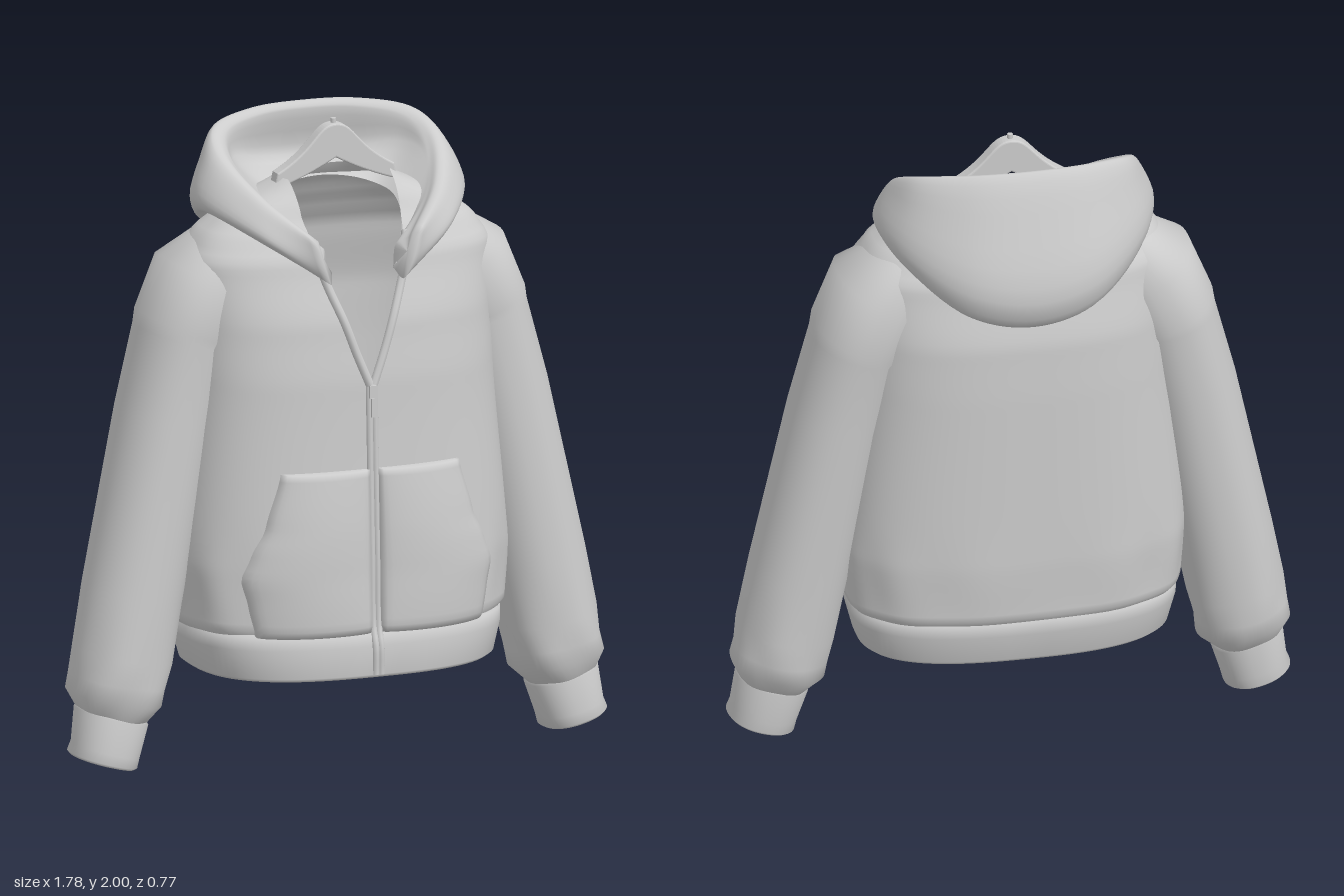
import * as THREE from 'three';

const fabric = new THREE.MeshStandardMaterial({ color: 0xcccccc, side: THREE.DoubleSide });
fabric.name = 'light grey';
const V = (x, y, z) => new THREE.Vector3(x, y, z);

function add(parent, name, geometry) {
  const m = new THREE.Mesh(geometry, fabric);
  m.name = name;
  parent.add(m);
  return m;
}

// Skin a grid of rings; closed joins each ring's end to its start
function loft(rings, closed) {
  const n = rings[0].length, pos = [], idx = [];
  rings.forEach(r => r.forEach(p => pos.push(p.x, p.y, p.z)));
  for (let i = 0; i < rings.length - 1; i++) {
    for (let j = 0; j < (closed ? n : n - 1); j++) {
      const a = i * n + j, b = i * n + (j + 1) % n;
      idx.push(a, b, a + n, b, b + n, a + n);
    }
  }
  const g = new THREE.BufferGeometry();
  g.setAttribute('position', new THREE.Float32BufferAttribute(pos, 3));
  g.setIndex(idx);
  g.computeVertexNormals();
  return g;
}

// Smooth lookup of a row table keyed by its rising first column
function at(rows, key) {
  let k = 0;
  while (k < rows.length - 2 && key > rows[k + 1][0]) k++;
  const f = THREE.MathUtils.clamp((key - rows[k][0]) / (rows[k + 1][0] - rows[k][0]), 0, 1);
  const s = f * f * (3 - 2 * f) * 0.4 + f * 0.6;
  return rows[k].map((v, i) => v + (rows[k + 1][i] - v) * s);
}

// Torso profile: y, half width, front z, back z, half width of the neck opening
const torso = [
  [0.42, 0.495, 0.335, -0.27, 0], [0.46, 0.53, 0.345, -0.3, 0], [0.65, 0.545, 0.335, -0.31, 0],
  [1.22, 0.5, 0.31, -0.31, 0], [1.4, 0.495, 0.29, -0.305, 0.07], [1.6, 0.5, 0.235, -0.26, 0.14],
  [1.67, 0.455, 0.195, -0.22, 0.155], [1.73, 0.385, 0.15, -0.18, 0.165], [1.83, 0.18, 0.1, -0.11, 0.17],
];
const E = 0.75;
const pw = (v, e) => Math.sign(v) * Math.abs(v) ** e;
function oval(a, w, zf, zb, y) {
  const c = pw(Math.cos(a), E);
  return V(w * pw(Math.sin(a), E), y, c > 0 ? c * zf : -c * zb);
}
function frontZ(x, y) {
  const [, w, zf] = at(torso, y);
  return zf * Math.max(0, 1 - (Math.abs(x) / w) ** (2 / E)) ** (E / 2);
}

function buildTorso() {
  const rings = [];
  for (let i = 0; i <= 70; i++) {
    const y = 0.42 + 1.41 * i / 70, [, w, zf, zb, gap] = at(torso, y);
    const a0 = Math.asin(Math.min(0.97, gap / w) ** (1 / E));
    const fold = 0.009 * Math.exp(-(((y - 0.55) / 0.14) ** 2));
    rings.push(Array.from({ length: 97 }, (_, j) => {
      const a = a0 + (2 * Math.PI - 2 * a0) * j / 96;
      const k = 1 + fold * Math.sin(11 * a);
      return oval(a, w * k, zf * k, zb * k, y);
    }));
  }
  return loft(rings, false);
}

// Ribbed hem: outer wall, rolled edge and inner wall
function buildHem() {
  const rows = [
    [0.455, 0.49, 0.33, -0.27], [0.44, 0.515, 0.36, -0.292], [0.4, 0.514, 0.372, -0.293],
    [0.31, 0.49, 0.375, -0.272], [0.298, 0.475, 0.36, -0.26], [0.31, 0.455, 0.34, -0.24],
    [0.45, 0.475, 0.32, -0.25],
  ];
  return loft(rows.map(([y, w, zf, zb]) =>
    Array.from({ length: 96 }, (_, j) => oval(j / 96 * 2 * Math.PI, w, zf, zb, y))), true);
}

// Limb rows: centre x, y, z, half width across, half depth
const sleeve = [
  [0.34, 1.62, -0.04, 0.1, 0.14], [0.42, 1.52, -0.03, 0.16, 0.2], [0.485, 1.37, -0.03, 0.156, 0.195],
  [0.493, 1.345, -0.03, 0.149, 0.187], [0.56, 1.1, -0.02, 0.147, 0.178], [0.675, 0.55, 0, 0.153, 0.165],
  [0.712, 0.36, 0.008, 0.152, 0.165], [0.728, 0.28, 0.01, 0.146, 0.162],
  [0.738, 0.225, 0.012, 0.148, 0.155], [0.75, 0.17, 0.02, 0.108, 0.115],
];
const cuff = [
  [0.748, 0.185, 0.02, 0.1, 0.105], [0.752, 0.17, 0.02, 0.116, 0.12], [0.776, 0.065, 0.03, 0.106, 0.115],
  [0.786, 0.035, 0.03, 0.108, 0.118], [0.788, 0.027, 0.03, 0.098, 0.108],
  [0.784, 0.04, 0.03, 0.086, 0.096], [0.764, 0.12, 0.025, 0.084, 0.094],
];
function limb(rows, fixedAngle, folds) {
  return loft(rows.map(([x, y, z, a, b], i) => {
    const p = rows[Math.max(0, i - 1)], q = rows[Math.min(rows.length - 1, i + 1)];
    const t = fixedAngle ?? Math.atan2(q[0] - p[0], p[1] - q[1]);
    return Array.from({ length: 48 }, (_, j) => {
      const u = j / 48 * 2 * Math.PI;
      const k = 1 + (y < 0.4 ? folds * Math.sin(5 * u + i * 1.3) : 0);
      const d = a * k * pw(Math.cos(u), 0.9);
      return V(x + d * Math.cos(t), y + d * Math.sin(t), z + b * k * pw(Math.sin(u), 0.9));
    });
  }), true);
}

// Hood loops, each a half outline from throat to centre back
const hoodBase = [[.12, 1.54, .28], [.28, 1.65, .2], [.42, 1.735, 0], [.38, 1.68, -.18], [.2, 1.545, -.32], [0, 1.5, -.345]];
const hoodBulge = [[.14, 1.58, .295], [.32, 1.69, .2], [.44, 1.77, -.02], [.395, 1.74, -.2], [.21, 1.64, -.355], [0, 1.6, -.39]];
const hoodWall = [[.16, 1.64, .295], [.325, 1.75, .17], [.41, 1.86, -.04], [.365, 1.87, -.19], [.2, 1.84, -.305], [0, 1.83, -.335]];
const hoodRim = [[.17, 1.68, .285], [.31, 1.8, .14], [.375, 1.91, -.05], [.335, 1.965, -.17], [.18, 1.99, -.25], [0, 1.995, -.27]];
const hoodNeck = [[.11, 1.56, .22], [.18, 1.68, .12], [.2, 1.74, 0], [.17, 1.76, -.08], [.1, 1.78, -.11], [0, 1.79, -.12]];
const inset = (loop, k, dy) => loop.map(([x, y, z]) => [x * k, y + dy, z * k]);

function buildHood() {
  // From the hidden base, up the outside, over the rim and down the inside
  const loops = [
    inset(hoodBase, 0.85, 0.03), hoodBase, hoodBulge, hoodWall, hoodRim,
    inset(hoodRim, 0.93, 0), inset(hoodRim, 0.87, -0.02), inset(hoodWall, 0.75, 0), hoodNeck,
  ];
  const around = loops.map(h => {
    const half = h.map(p => V(...p));
    const mirror = half.slice(0, -1).reverse().map(p => V(-p.x, p.y, p.z));
    return new THREE.CatmullRomCurve3([...half, ...mirror]).getPoints(72);
  });
  const columns = around[0].map((_, j) =>
    new THREE.CatmullRomCurve3(around.map(l => l[j])).getPoints(32));
  // Close both throat ends
  const cap = col => {
    const c = col.reduce((s, p) => s.add(p), V(0, 0, 0)).divideScalar(col.length);
    return col.map(() => c);
  };
  return loft([cap(columns[0]), ...columns, cap(columns[72])], false);
}

// One half of the front pocket, swelling away from the body
const pocketEdge = [[0.44, 0.375], [0.54, 0.395], [0.62, 0.415], [0.7, 0.385], [0.78, 0.345], [0.955, 0.295]];
function buildPocket(s) {
  const rings = [];
  for (let i = 0; i <= 26; i++) {
    const v = THREE.MathUtils.clamp((i - 1) / 24, 0, 1), y = 0.44 + 0.515 * v, w = at(pocketEdge, y)[1];
    rings.push(Array.from({ length: 25 }, (_, j) => {
      const u = THREE.MathUtils.clamp((j - 1) / 22, 0, 1), x = 0.015 + (w - 0.015) * u;
      const skirt = i === 0 || i === 26 || j === 0 || j === 24;
      const swell = Math.sqrt(Math.abs(Math.sin(Math.PI * u))) * (0.4 + 0.6 * Math.sin(Math.PI * (0.15 + v * 0.75)));
      return V(s * x, y, frontZ(x, y) + (skirt ? -0.02 : 0.015 + 0.04 * swell));
    }));
  }
  return loft(rings, false);
}

const tube = (pts, r) => new THREE.TubeGeometry(new THREE.CatmullRomCurve3(pts), 40, r, 8);

export function createModel() {
  const g = new THREE.Group();
  g.name = 'hoodedJacket';
  add(g, 'torso', buildTorso());
  add(g, 'hem', buildHem());
  add(g, 'hood', buildHood());

  for (const s of [1, -1]) {
    const side = s > 0 ? 'left' : 'right';
    const arm = new THREE.Group();
    arm.name = side + 'Arm';
    add(arm, side + 'Sleeve', limb(sleeve, undefined, 0.02));
    add(arm, side + 'Cuff', limb(cuff, 0.27, 0));
    arm.scale.x = s;
    g.add(arm);
    add(g, side + 'Pocket', buildPocket(s));

    // Rolled edge of the neck opening
    const edge = [1.22, 1.32, 1.42, 1.52, 1.6, 1.67].map(y => {
      const x = at(torso, y)[4] + 0.006;
      return V(s * x, y, frontZ(x, y) + 0.006);
    });
    add(g, side + 'NeckEdge', tube(edge, 0.014));

    // Zip tape from hem to the start of the opening
    const tape = [0.31, 0.4, 0.46, 0.7, 0.95, 1.22].map(y => V(s * 0.009, y, y < 0.45 ? 0.372 : frontZ(0, y) + 0.005));
    add(g, side + 'ZipTape', tube(tape, 0.011));
  }

  // Zip slider and pull tab
  add(g, 'zipSlider', new THREE.BoxGeometry(0.026, 0.04, 0.03)).position.set(0, 1.2, 0.318);
  add(g, 'zipPull', new THREE.BoxGeometry(0.016, 0.06, 0.009)).position.set(0, 1.15, 0.332);

  // Hanger body and hook stub
  const sh = new THREE.Shape();
  sh.moveTo(0, 1.98);
  sh.bezierCurveTo(0.06, 1.98, 0.06, 1.91, 0.19, 1.84);
  sh.lineTo(0.2, 1.8);
  sh.quadraticCurveTo(0.1, 1.83, 0, 1.885);
  sh.quadraticCurveTo(-0.1, 1.83, -0.2, 1.8);
  sh.lineTo(-0.19, 1.84);
  sh.bezierCurveTo(-0.06, 1.91, -0.06, 1.98, 0, 1.98);
  const hanger = new THREE.ExtrudeGeometry(sh, {
    depth: 0.036, bevelSize: 0.006, bevelThickness: 0.006, bevelSegments: 3, curveSegments: 20,
  });
  add(g, 'hanger', hanger).position.z = -0.018;
  add(g, 'hangerHook', new THREE.CylinderGeometry(0.009, 0.009, 0.06, 12)).position.set(0, 1.97, 0);
  return g;
}
